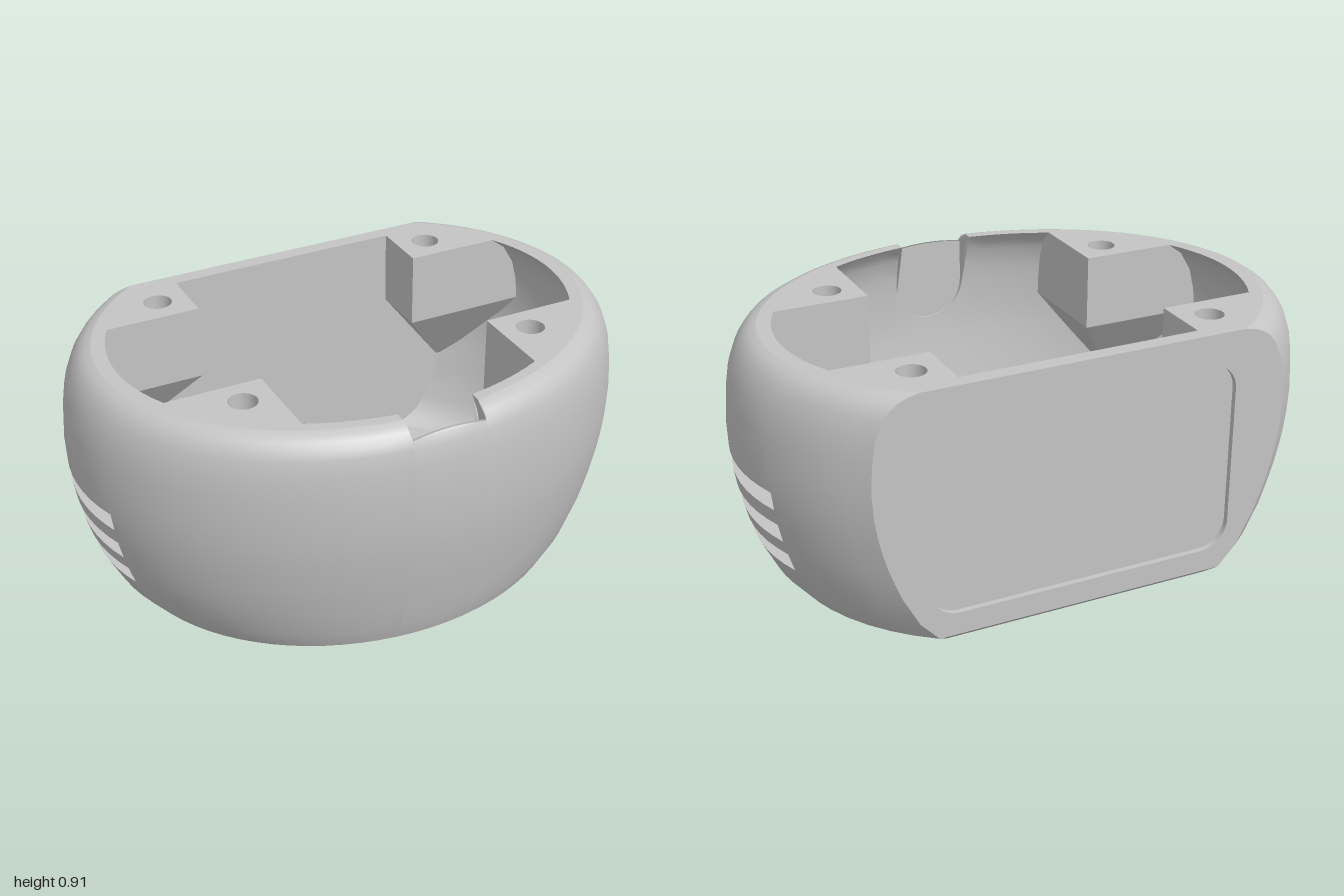
import * as THREE from 'three';

const grey = new THREE.MeshStandardMaterial({ color: 0xc4c4c4, side: THREE.DoubleSide });
grey.name = 'grey plastic';

const CZ = -0.13, NOTCH = 0.135, NOTCH_Z = 0.62, TOP = 0.91, FLOOR = 0.05, REAR_WALL = -0.61;
const WING_FRONT = 0.135, WING_REAR = -0.395;
const SLOTS = [[0.21, 0.275], [0.325, 0.39], [0.445, 0.51]];
const SEGS = [5, 8, 14, 8];                 // back, slots, front, notch (per half)
const SLOT0 = 5, SLOT1 = 13, N0 = 27, HALF = 35, LAST = 70, N1 = LAST - N0;

// Profiles: height, half width, half depth of each elliptical section
const OUTER = [
  [0, 0.765, 0.645], [0.03, 0.82, 0.695], [0.1, 0.88, 0.72], [0.21, 0.935, 0.742], [0.275, 0.955, 0.755],
  [0.325, 0.968, 0.765], [0.39, 0.982, 0.775], [0.445, 0.99, 0.783], [0.51, 0.997, 0.79], [0.6, 1, 0.795],
  [0.7, 0.993, 0.795], [0.78, 0.98, 0.79], [0.84, 0.957, 0.78], [0.87, 0.937, 0.766], [0.89, 0.92, 0.748],
  [0.903, 0.9, 0.728], [0.91, 0.88, 0.705]];
const INNER = [
  [0.05, 0.745, 0.615], [0.07, 0.79, 0.645], [0.11, 0.83, 0.67], [0.21, 0.88, 0.692], [0.39, 0.93, 0.72],
  [0.55, 0.95, 0.742], [0.7, 0.945, 0.742], [0.8, 0.92, 0.73], [0.87, 0.88, 0.705], [0.91, 0.83, 0.67]];
const INNER_Y = [0.05, 0.07, 0.11, 0.15, 0.21, 0.275, 0.325, 0.39, 0.445, 0.51, 0.58, 0.65, 0.72, 0.76, 0.8, 0.84, 0.87, 0.91];

function radii(profile, y) {
  let k = 1;
  while (k < profile.length - 1 && profile[k][0] < y) k++;
  const [p, q] = [profile[k - 1], profile[k]];
  const t = (y - p[0]) / (q[0] - p[0]);
  return [p[1] + (q[1] - p[1]) * t, p[2] + (q[2] - p[2]) * t];
}
function frontZ(profile, x, y) {
  const [a, b] = radii(profile, y);
  return CZ + b * Math.sqrt(1 - (x / a) ** 2);
}
const outerLimit = x => 0.878 - 0.013 * (x / NOTCH) ** 2;
const innerLimit = x => 0.72 - Math.sqrt(Math.max(0, NOTCH ** 2 - x ** 2));

// One section from the right rear corner round the front to the left rear corner
function section(profile, y, backZ, limit) {
  const [a, b] = radii(profile, y);
  const angle = z => Math.asin((z - CZ) / b);
  const stops = [angle(backZ), angle(-0.35), angle(0.09), Math.acos(NOTCH / a)];
  const half = [];
  for (let s = 0; s < 3; s++)
    for (let i = 0; i < SEGS[s]; i++) {
      const t = stops[s] + (stops[s + 1] - stops[s]) * i / SEGS[s];
      half.push(new THREE.Vector3(a * Math.cos(t), y, CZ + b * Math.sin(t)));
    }
  for (let i = 0; i <= SEGS[3]; i++) {
    const x = NOTCH * Math.cos(i / SEGS[3] * Math.PI / 2);
    const yy = i ? Math.min(y, limit(x)) : y;
    half.push(new THREE.Vector3(x, yy, frontZ(profile, x, yy)));
  }
  const mirrored = half.slice(0, HALF).reverse().map(p => new THREE.Vector3(-p.x, p.y, p.z));
  return half.concat(mirrored);
}

// Surface through rows of points
function grid(rows, skip = () => false, flip = false) {
  const n = rows[0].length, index = [];
  for (let i = 0; i < rows.length - 1; i++)
    for (let j = 0; j < n - 1; j++) {
      if (skip(i, j)) continue;
      const a = i * n + j, b = a + 1, c = a + n, d = c + 1;
      index.push(...(flip ? [a, b, c, b, d, c] : [a, c, b, b, c, d]));
    }
  const g = new THREE.BufferGeometry().setFromPoints(rows.flat());
  g.setIndex(index);
  g.computeVertexNormals();
  return g;
}

// Horizontal plate from [x, z] outline and round holes [x, z, r]
function plate(outline, holes, y) {
  const s = new THREE.Shape(outline.map(([x, z]) => new THREE.Vector2(x, -z)));
  for (const [x, z, r] of holes) s.holes.push(new THREE.Path().absarc(x, -z, r, 0, Math.PI * 2));
  return new THREE.ShapeGeometry(s, 16).rotateX(-Math.PI / 2).translate(0, y, 0);
}
const flatOutline = row => row.map(p => [p.x, p.z]);

export function createModel() {
  const model = new THREE.Group();
  const add = (name, geometry) => {
    const m = new THREE.Mesh(geometry, grey);
    m.name = name;
    model.add(m);
    return m;
  };
  const tube = (name, x, z, r, y0, y1, open = true) =>
    add(name, new THREE.CylinderGeometry(r, r, y1 - y0, 32, 1, open)).position.set(x, (y0 + y1) / 2, z);
  const V = (x, y, z) => new THREE.Vector3(x, y, z);

  // Outer and inner skins with the slot windows left out
  const outer = OUTER.map(([y]) => section(OUTER, y, y === 0 ? -0.63 : -0.665, outerLimit));
  const inner = INNER_Y.map(y => section(INNER, y, REAR_WALL, innerLimit));
  const inSlot = (y, j) => SLOTS.some(s => Math.abs(s[0] - y) < 1e-6) &&
    ((j >= SLOT0 && j < SLOT1) || (j >= LAST - SLOT1 && j < LAST - SLOT0));
  add('outerShell', grid(outer.slice(1), (i, j) => inSlot(OUTER[i + 1][0], j)));
  add('innerWall', grid(inner, (i, j) => inSlot(INNER_Y[i], j), true));
  add('bottomChamfer', grid(outer.slice(0, 2)));
  add('rearChamfer', grid(outer.slice(0, 2).map(r => [r[LAST], r[0]])));
  add('innerRearWall', grid(inner.map(r => [r[LAST], r[0]]), undefined, true));

  // Walls of the ventilation slots
  for (const [y0, y1] of SLOTS)
    for (const j0 of [SLOT0, LAST - SLOT1]) {
      const j1 = j0 + SLOT1 - SLOT0;
      const pick = y => [outer[OUTER.findIndex(r => r[0] === y)], inner[INNER_Y.indexOf(y)]];
      const [oa, ia] = pick(y0), [ob, ib] = pick(y1);
      add('slotSill', grid([oa.slice(j0, j1 + 1), ia.slice(j0, j1 + 1)]));
      add('slotHead', grid([ob.slice(j0, j1 + 1), ib.slice(j0, j1 + 1)], undefined, true));
      for (const j of [j0, j1]) add('slotEnd', grid([[oa[j], ob[j]], [ia[j], ib[j]]], undefined, j === j0));
    }

  // Top rim: outer outline, then the stepped opening
  const arc = (t0, t1, n) => Array.from({ length: n + 1 }, (_, i) => {
    const t = t0 + (t1 - t0) * i / n;
    return [0.83 * Math.cos(t), CZ + 0.67 * Math.sin(t)];
  });
  const angleZ = z => Math.asin((z - CZ) / 0.67);
  const opening = [
    ...arc(Math.acos(NOTCH / 0.83), Math.acos(0.425 / 0.83), 8), [0.425, WING_FRONT],
    ...arc(angleZ(WING_FRONT), angleZ(WING_REAR), 12), [0.425, WING_REAR], [0.425, REAR_WALL]];
  const topRow = flatOutline(outer[outer.length - 1]);
  const screws = [[0.535, -0.505], [-0.535, -0.505], [0.535, 0.24], [-0.535, 0.24]];
  add('topRim', plate([
    ...topRow.slice(0, N0 + 1), ...opening,
    ...opening.slice().reverse().map(([x, z]) => [-x, z]), ...topRow.slice(N1)],
  screws.map(([x, z]) => [x, z, 0.05]), TOP));
  for (const [x, z] of screws) {
    tube('screwHole', x, z, 0.05, 0.7, TOP);
    add('screwHoleEnd', plate([[x - 0.05, z - 0.05], [x + 0.05, z - 0.05], [x + 0.05, z + 0.05], [x - 0.05, z + 0.05]], [], 0.7));
  }

  // Screw posts: two upright faces (height, reach in x, reach in z) tapering to a point on the wall
  const levels = [[0.64, 0.91, 0.56], [0.8, 0.885, 0.55], [0.87, 0.845, 0.515], [TOP, 0.79, 0.46]];
  for (const s of [1, -1])
    for (const front of [true, false]) {
      const zEdge = front ? WING_FRONT : WING_REAR;
      const tip = front ? V(s * 0.67, 0.31, 0.385) : V(s * 0.68, 0.31, -0.63);
      const rows = levels.map(([y, x, z]) => [
        V(s * 0.425, y, front ? z : -0.635), V(s * 0.425, y, zEdge), V(s * x, y, zEdge)]);
      const flip = (s > 0) !== front;
      for (const k of [0, 1]) {
        const face = rows.map(r => r.slice(k, k + 2));
        add('screwPostFace', grid(face, undefined, flip));
        add('screwPostTaper', grid([[tip, tip], face[0]], undefined, flip));
      }
    }

  // Shallow notch inside the front wall
  const xs = inner[0].slice(N0, N1 + 1).map(p => p.x);
  const lip = xs.map(x => V(x, innerLimit(x), NOTCH_Z));
  const edge = lip.map(p => V(p.x, p.y, frontZ(INNER, p.x, p.y)));
  add('notchBack', grid([lip, xs.map(x => V(x, outerLimit(x), NOTCH_Z))], undefined, true));
  add('notchCurve', grid([edge, lip], undefined, true));
  for (const s of [1, -1]) {
    const sideRow = profile => [0.72, 0.8, 0.84, 0.87, 0.89, 0.903, 0.91].map(y =>
      V(s * NOTCH, y, Math.min(NOTCH_Z, frontZ(profile, NOTCH, y))));
    add('notchSide', grid([sideRow(INNER), sideRow(OUTER)], undefined, s < 0));
  }

  // Rear face with a shallow rounded recess
  const rear = new THREE.Shape([
    ...outer.slice(1).map(r => new THREE.Vector2(r[0].x, r[0].y)),
    ...outer.slice(1).reverse().map(r => new THREE.Vector2(r[LAST].x, r[LAST].y))]);
  const w = 0.55, y0 = 0.11, y1 = 0.8, r = 0.1;
  const panel = new THREE.Shape();
  panel.absarc(w - r, y1 - r, r, 0, Math.PI / 2);
  panel.absarc(-w + r, y1 - r, r, Math.PI / 2, Math.PI);
  panel.absarc(-w + r, y0 + r, r, Math.PI, Math.PI * 1.5);
  panel.absarc(w - r, y0 + r, r, Math.PI * 1.5, Math.PI * 2);
  panel.closePath();
  rear.holes.push(panel);
  const faceBack = (shape, z) => new THREE.ShapeGeometry(shape, 8).rotateY(Math.PI).translate(0, 0, z);
  add('rearFace', faceBack(rear, -0.665));
  add('rearPanel', faceBack(panel, -0.645));
  const rim = panel.getPoints(8);
  add('rearPanelEdge', grid([-0.665, -0.645].map(z => rim.map(p => V(p.x, p.y, z)))));

  // Base, floor, centre hole and mounting bosses
  const base = plate(flatOutline(outer[0]), [[0, CZ, 0.2], [0.465, CZ, 0.045], [-0.465, CZ, 0.045]], 0);
  const ix = base.index.array;
  for (let i = 0; i < ix.length; i += 3) [ix[i], ix[i + 1]] = [ix[i + 1], ix[i]];
  base.computeVertexNormals();
  add('base', base);
  add('floor', plate(flatOutline(inner[0]), [[0, CZ, 0.2]], FLOOR));
  tube('centreHole', 0, CZ, 0.2, 0, FLOOR);
  for (const x of [0.465, -0.465]) {
    tube('boss', x, CZ, 0.1, FLOOR, 0.23, false);
    tube('mountingHole', x, CZ, 0.045, 0, FLOOR);
  }
  return model;
}
